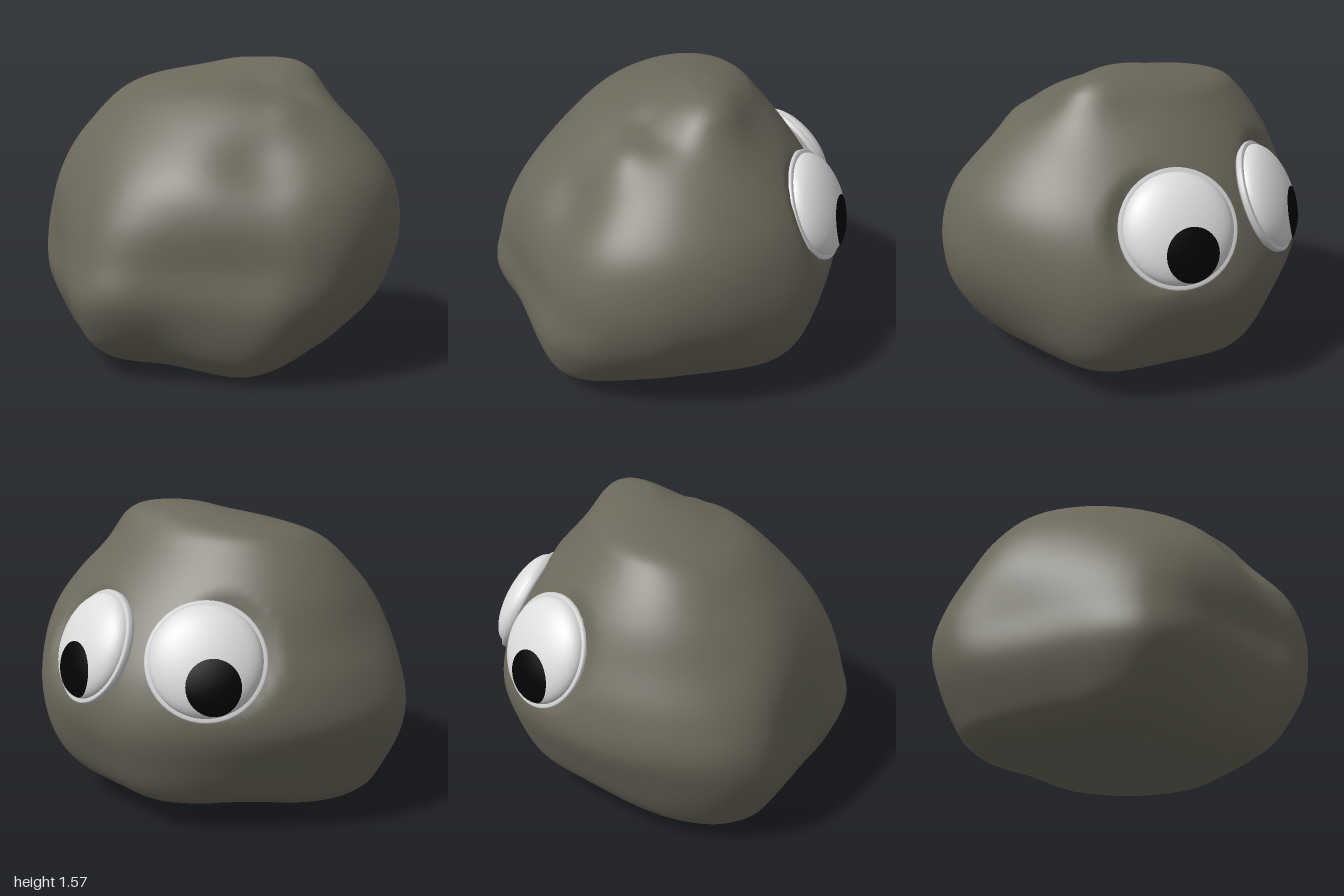
import * as THREE from 'three';
import { mergeVertices } from 'three/addons/utils/BufferGeometryUtils.js';

const material = (name, color) => {
  const m = new THREE.MeshStandardMaterial({ color });
  m.name = name;
  return m;
};

// Eye seats: centre of the rim and outward direction
const EYES = [
  { name: 'leftEye', at: [0.257, 0.922, -0.77], facing: [0.345, 0.42, -0.835] },
  { name: 'rightEye', at: [-0.365, 0.933, -0.702], facing: [-0.5, 0.42, -0.755] },
].map(({ name, at, facing }) => ({
  name,
  at: new THREE.Vector3(...at),
  facing: new THREE.Vector3(...facing).normalize(),
}));

// Stone extents per level: y, min x, max x, min z, max z
const LEVELS = [
  [0, 0, 0, 0, 0],
  [0.015, -0.3, 0.36, -0.33, 0.4],
  [0.045, -0.68, 0.5, -0.48, 0.62],
  [0.1, -0.8, 0.63, -0.62, 0.74],
  [0.2, -0.87, 0.76, -0.78, 0.85],
  [0.4, -0.96, 0.91, -0.88, 0.945],
  [0.6, -1, 0.99, -0.93, 0.91],
  [0.8, -0.95, 1, -0.89, 0.855],
  [1.0, -0.85, 0.94, -0.79, 0.75],
  [1.2, -0.75, 0.78, -0.65, 0.58],
  [1.38, -0.61, 0.57, -0.5, 0.38],
  [1.47, -0.46, 0.46, -0.42, 0.17],
  [1.53, -0.15, 0.36, -0.33, 0],
  [1.56, 0.02, 0.26, -0.24, -0.08],
  [1.567, 0.13, 0.13, -0.15, -0.15],
];

// Plan outline of the stone, x and z, from the +x side round by the front
const OUTLINE = [
  [1, 0.08], [0.95, 0.35], [0.81, 0.52], [0.6, 0.63], [0.3, 0.79], [0.06, 0.92],
  [-0.1, 0.94], [-0.25, 0.88], [-0.48, 0.7], [-0.74, 0.5], [-0.94, 0.31],
  [-1, 0.1], [-0.96, -0.13], [-0.85, -0.36], [-0.7, -0.56], [-0.48, -0.75],
  [-0.2, -0.9], [0, -0.94], [0.25, -0.89], [0.55, -0.77], [0.74, -0.62],
  [0.9, -0.36], [0.98, -0.1],
];

// Hollows (positive depth) and bumps (negative): x, y, z, radius, depth
const DENTS = [
  // crease high on the left side, with the ridge and hollow around it
  [0.48, 1.39, 0, 0.11, 0.035],
  [0.36, 1.4, 0.1, 0.12, 0.04],
  [0.42, 1.45, -0.26, 0.16, -0.04],
  [0.52, 1.27, 0.17, 0.1, -0.03],
  [0.56, 1.05, 0.45, 0.22, 0.075],
  // fuller shoulder and shallow hollow on the right
  [-0.7, 1.0, 0.36, 0.24, -0.03],
  [-0.65, 0.6, 0.5, 0.2, 0.02],
  // fuller lower corners on the left, undercut at the back right
  [0.6, 0.32, -0.56, 0.28, -0.075],
  [0.62, 0.32, 0.48, 0.25, -0.035],
  [0.44, 0.12, 0.52, 0.28, -0.085],
  [-0.45, 0.1, -0.45, 0.34, 0.05],
];

function stoneGeometry(cols = 112, rows = 96) {
  const low = new THREE.CatmullRomCurve3(
    LEVELS.map(([y, x0, , z0]) => new THREE.Vector3(x0, y, z0)), false, 'catmullrom');
  const high = new THREE.CatmullRomCurve3(
    LEVELS.map(([y, , x1, , z1]) => new THREE.Vector3(x1, y, z1)), false, 'catmullrom');
  const plan = new THREE.CatmullRomCurve3(
    OUTLINE.map(([x, z]) => new THREE.Vector3(x, 0, z / 0.94)), true);
  const positions = [];
  const index = [];
  const core = new THREE.Vector3(0, 0.7, 0);

  for (let j = 0; j <= rows; j++) {
    const a = low.getPoint(j / rows);
    const b = high.getPoint(j / rows);
    const round = THREE.MathUtils.smoothstep(a.y, 0.35, 1.3);
    for (let i = 0; i < cols; i++) {
      // The outline grows rounder towards the top
      const o = plan.getPoint(i / cols);
      const angle = Math.atan2(o.z, o.x);
      const u = THREE.MathUtils.lerp(o.x, Math.cos(angle), round);
      const v = THREE.MathUtils.lerp(o.z, Math.sin(angle), round);
      const p = new THREE.Vector3(
        (a.x + b.x) / 2 + (u * (b.x - a.x)) / 2,
        Math.max(0, a.y),
        (a.z + b.z) / 2 + (v * (b.z - a.z)) / 2);

      // Weathered hollows and bumps
      const inward = core.clone().sub(p).normalize();
      let push = 0;
      for (const [x, y, z, r, depth] of DENTS) {
        const d2 = (p.x - x) ** 2 + (p.y - y) ** 2 + (p.z - z) ** 2;
        push += depth * Math.exp(-d2 / (r * r));
      }
      p.addScaledVector(inward, push);
      p.y = Math.max(0, p.y);

      // Flat seats beneath the eyes
      for (const { at, facing } of EYES) {
        const offset = p.clone().sub(at);
        const out = offset.dot(facing);
        const radial = Math.sqrt(Math.max(0, offset.lengthSq() - out * out));
        const over = out + 0.012;
        if (over > 0 && out < 0.3) {
          p.addScaledVector(facing, -over * (1 - THREE.MathUtils.smoothstep(radial, 0.28, 0.37)));
        }
      }
      positions.push(p.x, p.y, p.z);

      if (j < rows) {
        const n = (i + 1) % cols;
        const p0 = j * cols + i, p1 = j * cols + n;
        index.push(p0, p0 + cols, p1, p1, p0 + cols, p1 + cols);
      }
    }
  }
  let g = new THREE.BufferGeometry();
  g.setAttribute('position', new THREE.Float32BufferAttribute(positions, 3));
  g.setIndex(index);
  g = mergeVertices(g, 1e-4);
  g.computeVertexNormals();
  return g;
}

const DOME_RADIUS = 0.27;
const DOME_HEIGHT = 0.112;

function pupilGeometry(cx, cy, radius) {
  // A disc draped over the dome
  const g = new THREE.RingGeometry(0, radius, 40, 8);
  const pos = g.attributes.position;
  for (let i = 0; i < pos.count; i++) {
    const x = pos.getX(i) + cx;
    const y = pos.getY(i) + cy;
    const k = Math.max(0, 1 - (x * x + y * y) / DOME_RADIUS ** 2);
    pos.setXYZ(i, x, y, DOME_HEIGHT * Math.sqrt(k) + 0.005);
  }
  g.computeVertexNormals();
  return g;
}

export function createModel() {
  const model = new THREE.Group();
  model.name = 'stoneWithEyes';
  const stone = material('stone', 0x6c695b);
  const white = material('eyeWhite', 0xdcdcdc);
  const rimGrey = material('eyeRim', 0xcfcfcf);
  const black = material('pupilBlack', 0x030303);

  const add = (parent, name, geometry, mat) => {
    const mesh = new THREE.Mesh(geometry, mat);
    mesh.name = name;
    parent.add(mesh);
  };

  add(model, 'stone', stoneGeometry(), stone);

  // Eye parts, built facing +z
  const dome = new THREE.SphereGeometry(1, 48, 16, 0, Math.PI * 2, 0, Math.PI / 2);
  dome.scale(DOME_RADIUS, DOME_HEIGHT, DOME_RADIUS).rotateX(Math.PI / 2);
  const rimProfile = [[0, -0.03], [0.285, -0.03], [0.291, -0.02], [0.291, 0], [0.285, 0.006], [0.264, 0.006]];
  const rim = new THREE.LatheGeometry(rimProfile.map(([r, y]) => new THREE.Vector2(r, y)), 48);
  rim.rotateX(Math.PI / 2);
  const pupil = pupilGeometry(0.036, -0.132, 0.13);

  for (const { name, at, facing } of EYES) {
    const eye = new THREE.Group();
    eye.name = name;
    eye.position.copy(at);
    eye.lookAt(at.clone().add(facing));
    add(eye, 'rim', rim, rimGrey);
    add(eye, 'dome', dome, white);
    add(eye, 'pupil', pupil, black);
    model.add(eye);
  }
  return model;
}
